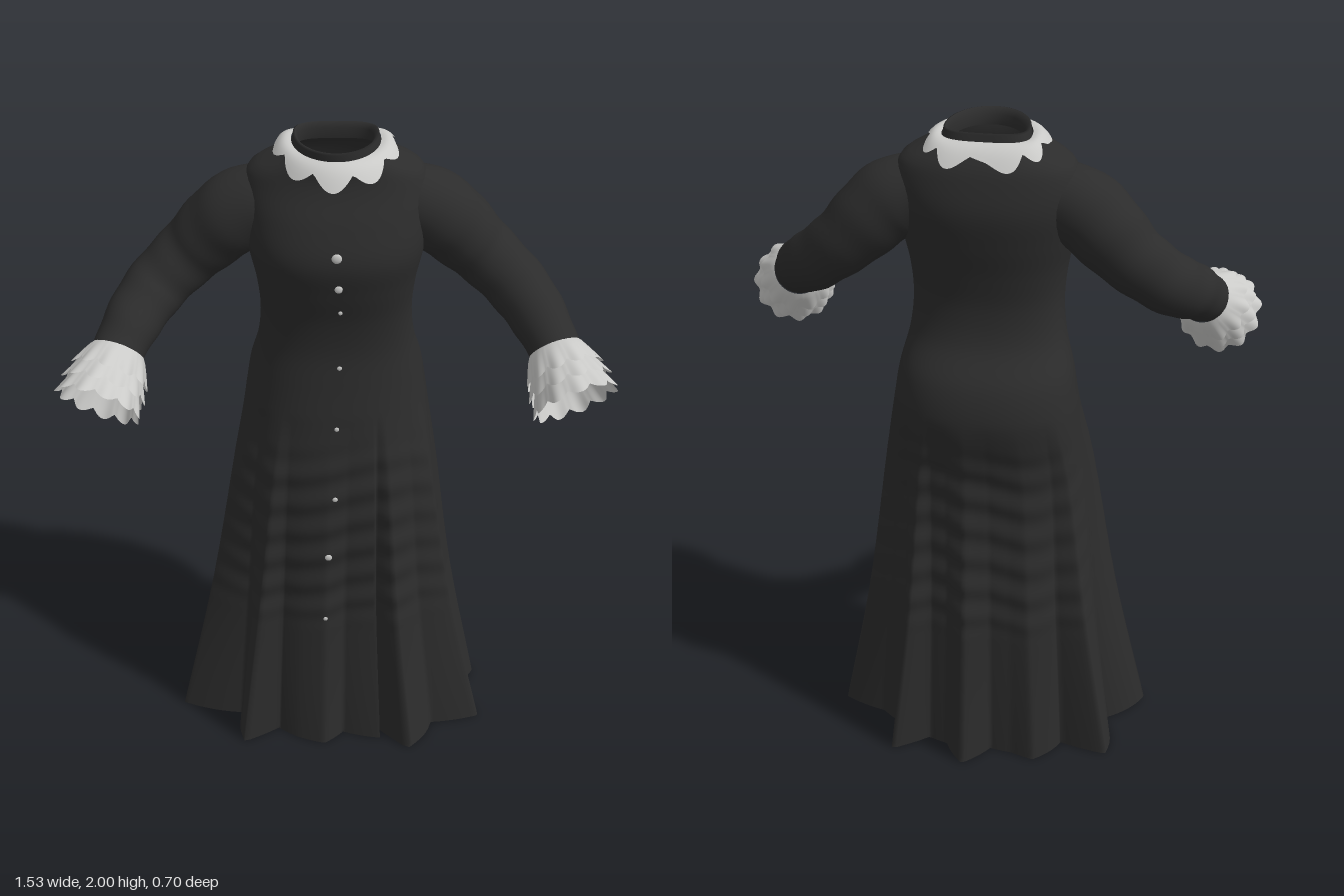
import * as THREE from 'three';

const cloth = new THREE.MeshStandardMaterial({ color: 0x2c2c2c, side: THREE.DoubleSide });
cloth.name = 'blackCloth';
const lace = new THREE.MeshStandardMaterial({ color: 0xcacac8, side: THREE.DoubleSide });
lace.name = 'whiteLace';

// Closed band: point(angle, v) gives a Vector3, angle runs round, v from 0 to 1
function band(name, material, point, around, rows, flip = false) {
  const pos = [], idx = [];
  for (let i = 0; i <= rows; i++)
    for (let j = 0; j < around; j++) pos.push(...point((j / around) * Math.PI * 2, i / rows).toArray());
  for (let i = 0; i < rows; i++)
    for (let j = 0; j < around; j++) {
      const a = i * around + j, b = i * around + ((j + 1) % around), c = a + around, d = b + around;
      if (flip) idx.push(a, b, c, b, d, c);
      else idx.push(a, c, b, b, c, d);
    }
  const g = new THREE.BufferGeometry();
  g.setAttribute('position', new THREE.Float32BufferAttribute(pos, 3));
  g.setIndex(idx);
  g.computeVertexNormals();
  const mesh = new THREE.Mesh(g, material);
  mesh.name = name;
  return mesh;
}

// Body sections: height, centre x, half width, front z, back z
const sections = [
  [0, -0.02, 0.492, 0.26, -0.35], [0.5, -0.015, 0.387, 0.19, -0.295], [1.0, -0.005, 0.305, 0.155, -0.245],
  [1.2, 0, 0.265, 0.125, -0.265], [1.3, 0, 0.248, 0.11, -0.24], [1.4, 0, 0.222, 0.1, -0.175],
  [1.5, 0, 0.212, 0.11, -0.155], [1.6, 0, 0.22, 0.135, -0.165], [1.7, 0, 0.24, 0.153, -0.185],
  [1.8, 0, 0.25, 0.125, -0.197], [1.88, 0, 0.245, 0.09, -0.182], [1.92, 0, 0.222, 0.08, -0.168],
  [1.95, 0, 0.165, 0.082, -0.148], [1.975, 0, 0.118, 0.088, -0.125],
];
const sectionAt = new THREE.CubicInterpolant(sections.map(s => s[0]), sections.flatMap(s => s.slice(1)), 4);

// Pleated hem outline (x, z), turned into a radius factor by angle
const hem = [
  [0.47, 0.12], [0.31, 0.15], [0.29, 0.2], [0.23, 0.265], [0.15, 0.22], [0.1, 0.14], [0.02, 0.19], [-0.04, 0.24],
  [-0.13, 0.21], [-0.19, 0.17], [-0.3, 0.23], [-0.31, 0.1], [-0.51, 0.05], [-0.38, -0.08], [-0.405, -0.24],
  [-0.26, -0.21], [-0.18, -0.3], [-0.11, -0.28], [-0.04, -0.27], [0.04, -0.35], [0.1, -0.27], [0.16, -0.25],
  [0.27, -0.32], [0.26, -0.2], [0.33, -0.15], [0.47, -0.1], [0.38, 0],
];
const TAU = Math.PI * 2;
const folds = hem.map(([x, z]) => {
  const a = (x + 0.02) / 0.492, b = (z + 0.045) / 0.305;
  return [(Math.atan2(b, a) + TAU) % TAU, Math.hypot(a, b)];
}).sort((p, q) => p[0] - q[0]);
const last = folds[folds.length - 1], first = folds[0];
const ringFolds = [[last[0] - TAU, last[1]], ...folds, [first[0] + TAU, first[1]]];
const foldAt = new THREE.LinearInterpolant(ringFolds.map(f => f[0]), ringFolds.map(f => f[1]), 1);

function bodyPoint(angle, y) {
  const [cx, rx, zf, zb] = sectionAt.evaluate(y);
  const w = THREE.MathUtils.clamp((1.2 - y) / 1.2, 0, 1) ** 0.85;
  const k = 1 + (foldAt.evaluate(angle)[0] - 1) * w;
  const e = THREE.MathUtils.lerp(0.86, 1, w);
  const round = t => Math.sign(t) * Math.abs(t) ** e;
  // soft horizontal wrinkles over the middle of the skirt
  const zone = THREE.MathUtils.smoothstep(y, 0.42, 0.55) * (1 - THREE.MathUtils.smoothstep(y, 1.0, 1.15));
  const wrinkle = 0.0045 * zone * Math.sin(y * 62 + 2 * Math.cos(angle * 3));
  const s = round(Math.sin(angle)), c = round(Math.cos(angle));
  const mid = (zf + zb) / 2, rz = (zf - zb) / 2 + wrinkle;
  return new THREE.Vector3(cx + rx * k * c, y, mid + rz * k * s);
}

// Neck outline: rounded in front, squarer behind
function neckPoint(a, rx, zf, zb, y) {
  const c = Math.cos(a), s = Math.sin(a), e = s < 0 ? 0.65 : 1;
  const mid = zb * 0.4 + zf * 0.6 - 0.06;
  const z = s < 0 ? mid - (mid - zb) * Math.abs(s) ** e : mid + (zf - mid) * s;
  return new THREE.Vector3(rx * Math.sign(c) * Math.abs(c) ** e, y, z);
}

function sleeve(side) {
  const path = new THREE.CatmullRomCurve3([
    [0.14, 1.825, -0.05], [0.25, 1.785, -0.05], [0.4, 1.648, -0.06], [0.5, 1.56, -0.015], [0.56, 1.5, 0.07], [0.605, 1.435, 0.16],
  ].map(p => new THREE.Vector3(p[0] * side, p[1], p[2])));
  const rows = 40, frames = path.computeFrenetFrames(rows);
  const radius = new THREE.CubicInterpolant([0, 0.2, 0.5, 0.75, 1], [0.09, 0.11, 0.092, 0.084, 0.069], 1);
  return band('sleeve', cloth, (a, v) => {
    const i = Math.round(v * rows);
    const r = radius.evaluate(v)[0] + 0.0015 * Math.sin(v * 40 + Math.cos(a) * 2);
    return path.getPointAt(v)
      .addScaledVector(frames.normals[i], r * Math.cos(a))
      .addScaledVector(frames.binormals[i], r * Math.sin(a));
  }, 28, rows, true);
}

// Three overlapping scalloped frills flaring from the wrist
function cuff(side) {
  const group = new THREE.Group();
  group.name = 'cuff';
  const axis = new THREE.Vector3(0.32 * side, -0.6, 0.73).normalize();
  const turn = new THREE.Quaternion().setFromUnitVectors(new THREE.Vector3(0, 1, 0), axis);
  const origin = new THREE.Vector3(0.6 * side, 1.438, 0.15);
  const tiers = [[-0.012, 0.065, 0.072, 0.106], [0.025, 0.108, 0.075, 0.115], [0.06, 0.152, 0.078, 0.118]];
  tiers.forEach(([from, to, r0, r1], t) => {
    group.add(band('cuffFrill', lace, (a, v) => {
      const lobe = Math.abs(Math.sin(a * 5.5 + t * 0.8));
      const wave = Math.cos(a * 11 + t * 1.6);
      const r = THREE.MathUtils.lerp(r0, r1, v ** 0.8) - 0.006 * v * wave;
      const h = THREE.MathUtils.lerp(from, to - 0.014 + 0.018 * lobe, v);
      return new THREE.Vector3(r * Math.cos(a), h, r * Math.sin(a)).applyQuaternion(turn).add(origin);
    }, 132, 6));
  });
  return group;
}

export function createModel() {
  const model = new THREE.Group();
  model.name = 'dress';

  // Bodice and pleated skirt
  model.add(band('bodiceAndSkirt', cloth, (a, v) => bodyPoint(a, v * 1.975), 270, 130));

  // Standing neckband, outside face then rim then inside face
  const neck = [[0.12, 0.09, -0.13, 1.955], [0.114, 0.097, -0.124, 1.997], [0.108, 0.088, -0.118, 2], [0.1, 0.07, -0.108, 1.985], [0.102, 0.07, -0.11, 1.955]];
  model.add(band('neckband', cloth, (a, v) => neckPoint(a, ...neck[Math.round(v * 4)]), 64, 4));

  // Scalloped collar, wide in front and behind, narrow over the shoulders
  model.add(band('collar', lace, (a, v) => {
    const lobe = Math.abs(Math.sin(a * 4.5 + 0.5));
    const s2 = Math.sin(a) ** 2;
    const reach = v * (0.6 + 0.4 * lobe);
    const inner = neckPoint(a, 0.119, 0.097, -0.129, 1.98);
    const outer = neckPoint(a, 0.168, 0.155, -0.192, 1.955 - 0.036 * s2);
    const p = inner.lerp(outer, reach);
    p.y += 0.012 * Math.sin(reach * Math.PI);
    return p;
  }, 126, 6, true));

  for (const side of [1, -1]) model.add(sleeve(side), cuff(side));

  // Buttons down the front: x, y, radius
  const buttons = [[0, 1.73, 0.014], [0.005, 1.635, 0.011], [0.01, 1.55, 0.006], [0.008, 1.36, 0.007],
    [0, 1.17, 0.007], [-0.005, 0.94, 0.008], [-0.025, 0.73, 0.011], [-0.035, 0.49, 0.007]];
  for (const [x, y, r] of buttons) {
    const [cx, rx] = sectionAt.evaluate(y);
    const p = bodyPoint(Math.acos((x - cx) / rx), y);
    const button = new THREE.Mesh(new THREE.SphereGeometry(r, 14, 8), lace);
    button.name = 'button';
    button.scale.z = 0.4;
    button.position.set(x, y, p.z + 0.002);
    model.add(button);
  }
  return model;
}
